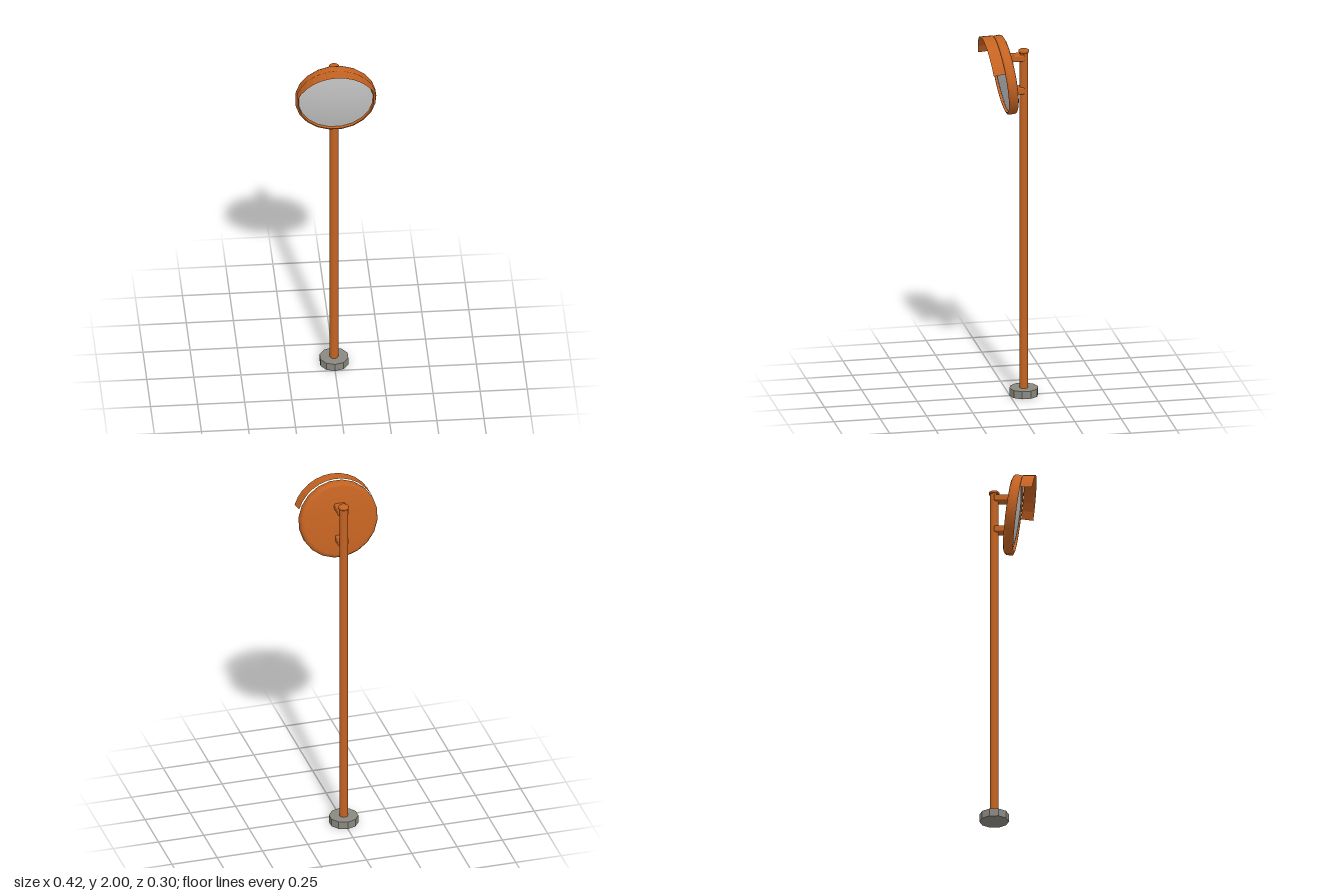
import * as THREE from 'three';
import { RoundedBoxGeometry } from 'three/addons/geometries/RoundedBoxGeometry.js';

const orange = new THREE.MeshStandardMaterial({ color: 0xc46322, side: THREE.DoubleSide });
orange.name = 'orange paint';
const silver = new THREE.MeshStandardMaterial({ color: 0xc9c9c9 });
silver.name = 'mirror silver';
const concrete = new THREE.MeshStandardMaterial({ color: 0x8b8981, flatShading: true });
concrete.name = 'concrete grey';
const visorPaint = new THREE.MeshStandardMaterial({ color: 0xc46322, side: THREE.DoubleSide, flatShading: true });
visorPaint.name = 'visor orange';

const POLE_Z = -0.075;
const SIDES = 20;

function add(parent, name, geometry, material, x = 0, y = 0, z = 0) {
  const mesh = new THREE.Mesh(geometry, material);
  mesh.name = name;
  mesh.position.set(x, y, z);
  parent.add(mesh);
  return mesh;
}

// Lathe whose axis points along +z; profile is [radius, z], flats face the sides
function disc(profile) {
  const points = profile.map(([r, z]) => new THREE.Vector2(r, z));
  return new THREE.LatheGeometry(points, SIDES, Math.PI / SIDES).rotateX(Math.PI / 2);
}

export function createModel() {
  const model = new THREE.Group();
  model.name = 'trafficMirror';

  // Ten-sided foot, pole and pole cap
  const foot = new THREE.CylinderGeometry(0.078, 0.078, 0.042, 10).rotateY(Math.PI);
  add(model, 'foot', foot, concrete, 0, 0.021, POLE_Z);
  add(model, 'pole', new THREE.CylinderGeometry(0.023, 0.023, 1.89, 16), orange, 0, 0.965, POLE_Z);
  const cap = [[0, 0], [0.026, 0], [0.028, 0.004], [0.028, 0.012], [0.024, 0.016], [0, 0.018]];
  add(model, 'poleCap',
    new THREE.LatheGeometry(cap.map(([r, y]) => new THREE.Vector2(r, y)), 16), orange, 0, 1.908, POLE_Z);

  // Two brackets between pole and mirror
  for (const y of [1.882, 1.7]) {
    add(model, 'bracket', new RoundedBoxGeometry(0.06, 0.036, 0.08, 2, 0.007), orange, 0, y, -0.035);
  }

  // Mirror head, leaning forward
  const head = new THREE.Group();
  head.name = 'mirrorHead';
  head.position.set(0, 1.79, 0.03);
  head.rotation.x = THREE.MathUtils.degToRad(8);
  model.add(head);

  add(head, 'housing', disc([
    [0, -0.041], [0.1, -0.039], [0.192, -0.032], [0.207, -0.026],
    [0.215, -0.015], [0.215, 0.014], [0.211, 0.021], [0.203, 0.024],
  ]), orange);
  add(head, 'rimLip', disc([[0.203, 0.024], [0.199, 0.022], [0.199, 0.008]]), orange);

  // Convex reflecting face
  const dome = [];
  for (let i = 0; i <= 8; i++) {
    const r = 0.2 * (1 - i / 8);
    dome.push([r, 0.029 - 0.018 * (r / 0.2) ** 2]);
  }
  add(head, 'mirrorFace', disc(dome), silver);

  // Flared visor arching over the top
  const half = THREE.MathUtils.degToRad(70);
  const visor = new THREE.CylinderGeometry(0.224, 0.217, 0.065, 12, 1, true, Math.PI - half, 2 * half)
    .rotateX(Math.PI / 2);
  add(head, 'visor', visor, visorPaint, 0, 0, 0.0565);

  return model;
}
